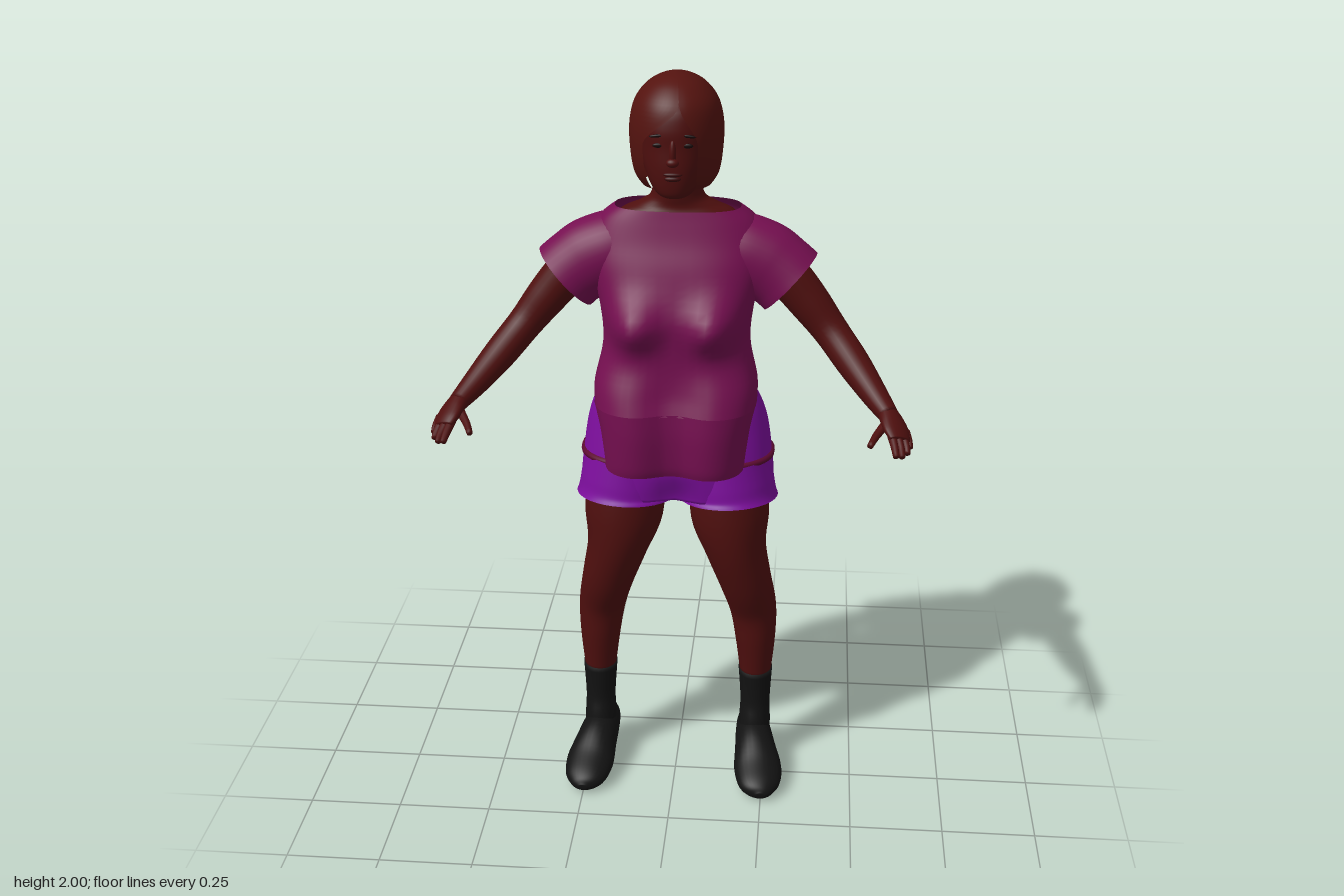
import * as THREE from 'three';

const mat = (name, color, side = THREE.FrontSide) => {
  const m = new THREE.MeshStandardMaterial({ color, side });
  m.name = name;
  return m;
};

// Catmull-Rom through rows of numbers
function smooth(rows, steps) {
  const out = [], last = rows.length - 1;
  const at = (i) => rows[Math.max(0, Math.min(last, i))];
  for (let i = 0; i < last; i++) {
    for (let s = 0; s < steps; s++) {
      const t = s / steps;
      out.push(rows[i].map((b, k) => {
        const a = at(i - 1)[k], c = at(i + 1)[k], d = at(i + 2)[k];
        return b + 0.5 * t * (c - a + t * (2 * a - 5 * b + 4 * c - d + t * (3 * (b - c) + d - a)));
      }));
    }
  }
  out.push(rows[last]);
  return out;
}

// Skin a list of point rings, turned outward by signed volume
function skin(rings, closed, cap) {
  const n = rings[0].length, pos = [], tri = [], centre = new THREE.Vector3();
  const pts = rings.flat();
  pts.forEach((p) => centre.addScaledVector(p, 1 / pts.length));
  const cols = closed ? n : n - 1;
  for (let i = 0; i < rings.length - 1; i++) {
    for (let j = 0; j < cols; j++) {
      const a = i * n + j, b = i * n + (j + 1) % n, c = a + n, d = b + n;
      tri.push([a, b, c], [b, d, c]);
    }
  }
  if (cap) {
    for (const end of [0, rings.length - 1]) {
      const mid = new THREE.Vector3();
      rings[end].forEach((p) => mid.addScaledVector(p, 1 / n));
      const m = pts.push(mid) - 1;
      for (let j = 0; j < n; j++) {
        const a = end * n + j, b = end * n + (j + 1) % n;
        tri.push(end ? [a, b, m] : [b, a, m]);
      }
    }
  }
  let volume = 0;
  const local = pts.map((p) => p.clone().sub(centre));
  for (const [a, b, c] of tri) volume += local[a].dot(local[b].clone().cross(local[c]));
  if (volume < 0) tri.forEach((t) => t.reverse());
  pts.forEach((p) => pos.push(p.x, p.y, p.z));
  const g = new THREE.BufferGeometry();
  g.setAttribute('position', new THREE.Float32BufferAttribute(pos, 3));
  g.setIndex(tri.flat());
  g.computeVertexNormals();
  return g;
}

// Level rings; rows are [y, half width, front z, back z]
function stack(rows, { n = 2, arc = null, shape = null, cap = false, steps = 5, seg = 56 } = {}) {
  const bend = (v) => Math.sign(v) * Math.abs(v) ** (2 / n);
  const rings = smooth(rows, steps).map(([y, rx, zf, zb]) => {
    const [from, to] = arc ? arc(y) : [0, Math.PI * 2];
    return Array.from({ length: seg }, (_, j) => {
      const th = from + (to - from) * j / (arc ? seg - 1 : seg);
      const p = new THREE.Vector3(rx * bend(Math.cos(th)), y, (zf + zb) / 2 + (zf - zb) / 2 * bend(Math.sin(th)));
      if (shape) shape(p);
      return p;
    });
  });
  return skin(rings, !arc, cap);
}

// Rings across a path; rows are [x, y, z, radius u, radius v]
function limb(rows, s = 1, { ref = [0, 0, 1], cap = true, seg = 24, steps = 5 } = {}) {
  const path = smooth(rows, steps), up = new THREE.Vector3(...ref);
  const point = (i) => new THREE.Vector3().fromArray(path[Math.max(0, Math.min(path.length - 1, i))]);
  const rings = path.map(([, , , ru, rv], i) => {
    const t = point(i + 1).sub(point(i - 1)).normalize();
    const u = t.clone().cross(up).normalize(), v = t.clone().cross(u);
    return Array.from({ length: seg }, (_, j) => {
      const a = j / seg * Math.PI * 2;
      const p = point(i).addScaledVector(u, ru * Math.cos(a)).addScaledVector(v, rv * Math.sin(a));
      p.x *= s;
      return p;
    });
  });
  return skin(rings, true, cap);
}

const bump = (d, w) => Math.exp(-((d / w) ** 2));

export function createModel() {
  const model = new THREE.Group();
  const skinMat = mat('skin', 0x4e0f0e), hairMat = mat('hair', 0x54130f, THREE.DoubleSide);
  const shirtMat = mat('shirt', 0x750f50, THREE.DoubleSide), shortsMat = mat('shorts', 0x7c0e9c, THREE.DoubleSide);
  const bandMat = mat('band', 0x5c0a30, THREE.DoubleSide), shoeMat = mat('shoes', 0x121212);
  const darkMat = mat('eyes', 0x160606), lipMat = mat('lips', 0x3c0a0a);
  const add = (name, geometry, material) => {
    const m = new THREE.Mesh(geometry, material);
    m.name = name;
    model.add(m);
    return m;
  };
  const ball = (name, material, p, r) => {
    const m = add(name, new THREE.SphereGeometry(1, 20, 14), material);
    m.position.set(...p);
    m.scale.set(...r);
    return m;
  };

  // Shirt: bust, hollow down the front centre, long front panel
  const shirtShape = (p) => {
    if (p.z < -0.02) return;
    const front = Math.min(1, (p.z + 0.02) / 0.06);
    p.z += front * 0.062 * bump(Math.abs(p.x) - 0.1, 0.065) * bump(p.y - 1.37, 0.065);
    p.z -= front * 0.04 * bump(p.x, 0.07) * THREE.MathUtils.smoothstep(1.32 - p.y, 0, 0.15);
  };
  add('shirtBody', stack([
    [1.14, 0.213, 0.145, -0.197], [1.2, 0.213, 0.122, -0.185], [1.3, 0.192, 0.08, -0.182],
    [1.4, 0.2, 0.073, -0.192], [1.5, 0.225, 0.048, -0.2], [1.57, 0.225, 0.02, -0.197],
    [1.62, 0.2, 0.004, -0.185], [1.652, 0.162, -0.005, -0.165],
  ], { n: 2.6, shape: shirtShape }), shirtMat);
  add('shirtFrontPanel', stack([
    [0.97, 0.185, 0.138, -0.15], [1.0, 0.187, 0.145, -0.16], [1.08, 0.198, 0.149, -0.18], [1.145, 0.213, 0.145, -0.197],
  ], { n: 2.8, arc: (y) => { const e = y > 1.1 ? (y - 1.1) * 5 : 0; return [0.06 - e, Math.PI - 0.06 + e]; }, shape: shirtShape }), shirtMat);

  // Shorts with cleft, and a narrow band round the hips
  const hips = [
    [0.87, 0.258, 0.06, -0.213], [0.92, 0.26, 0.065, -0.234], [0.97, 0.255, 0.065, -0.245],
    [1.05, 0.244, 0.05, -0.233], [1.11, 0.228, 0.04, -0.21], [1.165, 0.203, 0.03, -0.182],
  ];
  const hipShape = (p) => {
    if (p.z < -0.1) p.z += 0.028 * bump(p.x, 0.035) * bump(p.y - 0.96, 0.13);
    if (p.z > 0) p.z -= 0.03 * bump(p.x, 0.05) * bump(p.y - 0.87, 0.07);
  };
  add('shortsHips', stack(hips, { n: 2.3, cap: true, shape: hipShape }), shortsMat);
  add('hipBand', stack([
    [0.964, 0.254, 0.063, -0.242], [0.968, 0.261, 0.07, -0.25], [0.978, 0.261, 0.07, -0.25], [0.982, 0.253, 0.063, -0.242],
  ], { n: 2.3, shape: hipShape, steps: 2 }), bandMat);

  for (const s of [1, -1]) {
    const side = s > 0 ? 'left' : 'right';
    add(side + 'Sleeve', limb([
      [0.12, 1.545, -0.088, 0.092, 0.088], [0.17, 1.53, -0.088, 0.1, 0.096], [0.225, 1.505, -0.085, 0.104, 0.096],
      [0.265, 1.48, -0.078, 0.1, 0.092], [0.292, 1.457, -0.075, 0.1, 0.096],
    ], s, { cap: false, seg: 36 }), shirtMat);
    add(side + 'ShortsLeg', limb([
      [0.13, 0.96, -0.08, 0.118, 0.135], [0.135, 0.9, -0.075, 0.126, 0.138],
      [0.139, 0.865, -0.072, 0.128, 0.139], [0.14, 0.847, -0.07, 0.134, 0.146],
    ], s, { cap: false, seg: 36 }), shortsMat);

    // Arm, palm, fingers and thumb
    add(side + 'Arm', limb([
      [0.22, 1.53, -0.08, 0.055, 0.055], [0.28, 1.475, -0.078, 0.058, 0.054], [0.34, 1.405, -0.073, 0.054, 0.051],
      [0.4, 1.33, -0.058, 0.046, 0.046], [0.46, 1.262, -0.005, 0.043, 0.045], [0.515, 1.205, 0.065, 0.034, 0.036],
      [0.553, 1.17, 0.12, 0.025, 0.028],
    ], s), skinMat);
    add(side + 'Palm', limb([
      [0.548, 1.175, 0.112, 0.026, 0.024], [0.562, 1.16, 0.14, 0.036, 0.022],
      [0.573, 1.145, 0.17, 0.038, 0.018], [0.58, 1.133, 0.192, 0.03, 0.012],
    ], s, { ref: [0.4, 0.9, 0] }), skinMat);
    const digits = [
      [[0.558, 1.145, 0.18], [0.566, 1.125, 0.215], [0.57, 1.11, 0.242]],
      [[0.573, 1.14, 0.18], [0.582, 1.12, 0.21], [0.585, 1.107, 0.235]],
      [[0.587, 1.138, 0.17], [0.596, 1.118, 0.195], [0.599, 1.106, 0.212]],
      [[0.594, 1.14, 0.15], [0.603, 1.122, 0.17], [0.606, 1.11, 0.184]],
      [[0.543, 1.155, 0.145], [0.52, 1.14, 0.185], [0.505, 1.128, 0.222]],
    ];
    digits.forEach((d, i) => add(side + (i < 4 ? 'Finger' + (i + 1) : 'Thumb'),
      limb(d.map((p, k) => [...p, 0.012 - k * 0.002, 0.012 - k * 0.002]), s, { ref: [0, 1, 0], seg: 10, steps: 3 }), skinMat));

    // Leg, sock and shoe
    add(side + 'Leg', limb([
      [0.135, 0.94, -0.07, 0.105, 0.115], [0.145, 0.8, -0.055, 0.107, 0.116], [0.163, 0.7, -0.048, 0.084, 0.103],
      [0.19, 0.6, -0.052, 0.072, 0.081], [0.212, 0.5, -0.08, 0.065, 0.07], [0.22, 0.4, -0.086, 0.056, 0.066],
      [0.222, 0.29, -0.086, 0.044, 0.052],
    ], s, { seg: 32 }), skinMat);
    add(side + 'Sock', limb([
      [0.222, 0.3, -0.086, 0.048, 0.055], [0.223, 0.2, -0.086, 0.042, 0.05], [0.223, 0.14, -0.08, 0.044, 0.056],
      [0.223, 0.08, -0.075, 0.045, 0.06],
    ], s), shoeMat);
    add(side + 'Shoe', limb([
      [0.214, 0.085, -0.15, 0.022, 0.032], [0.216, 0.09, -0.135, 0.042, 0.05], [0.22, 0.087, -0.08, 0.05, 0.058],
      [0.228, 0.075, -0.015, 0.057, 0.061], [0.239, 0.05, 0.055, 0.067, 0.046], [0.245, 0.035, 0.115, 0.058, 0.033],
      [0.249, 0.027, 0.145, 0.036, 0.021], [0.25, 0.025, 0.158, 0.012, 0.008],
    ], s, { ref: [0, 1, 0], seg: 28 }), shoeMat);
  }

  // Neck and shoulder tops
  add('neck', stack([
    [1.58, 0.17, -0.015, -0.165], [1.635, 0.15, -0.015, -0.158], [1.66, 0.1, -0.02, -0.148],
    [1.69, 0.066, -0.015, -0.135], [1.78, 0.062, 0.0, -0.125],
  ]), skinMat);

  // Head with brow, nose and mouth
  add('head', stack([
    [1.7, 0.012, 0.045, 0.01], [1.71, 0.04, 0.07, -0.03], [1.735, 0.062, 0.08, -0.08], [1.78, 0.08, 0.085, -0.12],
    [1.83, 0.09, 0.084, -0.14], [1.88, 0.094, 0.084, -0.14], [1.93, 0.082, 0.065, -0.12], [1.97, 0.03, 0.0, -0.07],
  ], { cap: true, n: 2.2 }), skinMat);
  ball('noseBridge', skinMat, [0, 1.825, 0.083], [0.009, 0.032, 0.011]);
  ball('noseTip', skinMat, [0, 1.802, 0.09], [0.016, 0.011, 0.012]);
  ball('upperLip', lipMat, [0, 1.772, 0.084], [0.024, 0.006, 0.009]);
  ball('lowerLip', lipMat, [0, 1.761, 0.083], [0.021, 0.007, 0.009]);
  for (const s of [1, -1]) {
    ball('eye', darkMat, [s * 0.035, 1.842, 0.077], [0.015, 0.006, 0.004]);
    ball('eyebrow', darkMat, [s * 0.037, 1.866, 0.078], [0.021, 0.004, 0.004]).rotation.z = -s * 0.1;
  }

  // Bobbed hair, parted to frame the face
  add('hair', stack([
    [1.72, 0.088, 0.045, -0.142], [1.75, 0.106, 0.068, -0.158], [1.8, 0.115, 0.088, -0.173], [1.87, 0.118, 0.096, -0.183],
    [1.93, 0.105, 0.085, -0.168], [1.97, 0.075, 0.05, -0.135], [1.992, 0.038, 0.005, -0.09], [2.0, 0.001, -0.04, -0.042],
  ], {
    arc: (y) => {
      const open = THREE.MathUtils.smoothstep(1.945 - y, 0, 0.11);
      return [Math.PI / 2 + 0.85 * open - 0.15, Math.PI * 2.5 - 0.4 * open - 0.15];
    },
    seg: 64,
  }), hairMat);
  return model;
}
